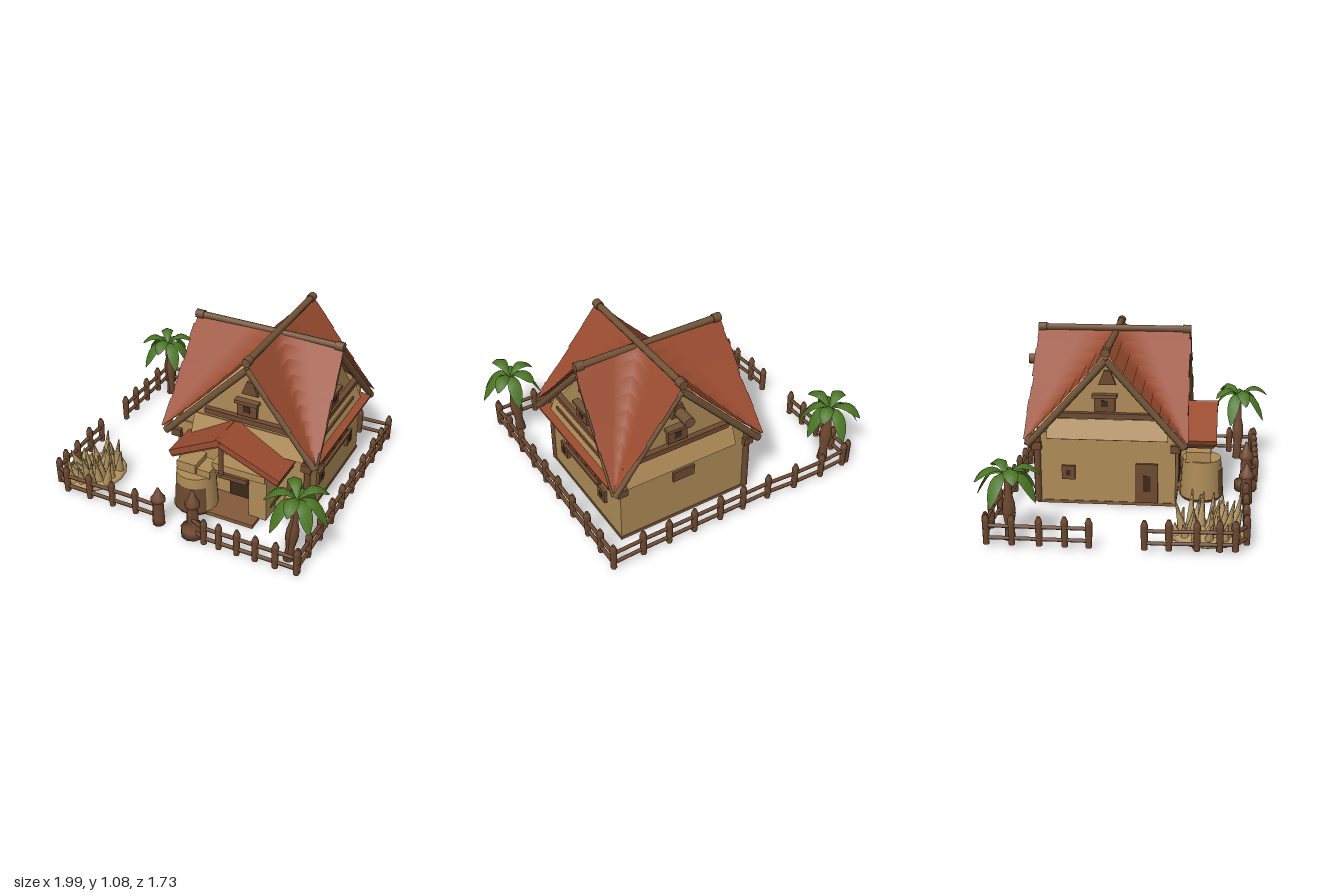
import * as THREE from 'three';

const mat = (name, color, side = THREE.FrontSide) => {
  const m = new THREE.MeshStandardMaterial({ color, side });
  m.name = name;
  return m;
};
const M = {
  roof: mat('clay tile', 0x994b2f, THREE.DoubleSide),
  wall: mat('plaster', 0xae8b57),
  wood: mat('brown wood', 0x6e4930),
  log: mat('ridge log', 0x725438),
  dark: mat('dark opening', 0x3c281a),
  leaf: mat('palm green', 0x497422, THREE.DoubleSide),
  straw: mat('dry straw', 0xb39561),
  base: mat('floor brown', 0x84593a),
};

let seed = 7;
const rnd = (a, b) => {
  seed = (seed * 16807) % 2147483647;
  return a + (b - a) * seed / 2147483647;
};
const V = (x, y, z) => new THREE.Vector3(x, y, z);

function add(parent, name, geo, material, x = 0, y = 0, z = 0) {
  const m = new THREE.Mesh(geo, material);
  m.name = name;
  m.position.set(x, y, z);
  parent.add(m);
  return m;
}
const box = (p, name, material, w, h, d, x, y, z) =>
  add(p, name, new THREE.BoxGeometry(w, h, d), material, x, y, z);

// Round beam from a to b
function beam(p, name, material, a, b, r, r2 = r, sides = 8) {
  const d = b.clone().sub(a), c = a.clone().add(b).multiplyScalar(0.5);
  const m = add(p, name, new THREE.CylinderGeometry(r2, r, d.length(), sides), material, c.x, c.y, c.z);
  m.quaternion.setFromUnitVectors(V(0, 1, 0), d.normalize());
  return m;
}

// Smooth surface through rows of points
function sheet(rows) {
  const n = rows[0].length, idx = [];
  for (let i = 0; i < rows.length - 1; i++)
    for (let j = 0; j < n - 1; j++) {
      const a = i * n + j;
      idx.push(a, a + n, a + 1, a + 1, a + n, a + n + 1);
    }
  const g = new THREE.BufferGeometry().setFromPoints(rows.flat());
  g.setIndex(idx);
  g.computeVertexNormals();
  return g;
}

const CX = 0.31, CZ = -0.17;

// Four roof quarters, each two slopes meeting in a valley, in overlapping courses
function roof(p) {
  const centre = V(CX, 1.045, CZ);
  const ends = { f: V(CX, 1.05, 0.32), b: V(CX, 1.05, -0.67), l: V(-0.27, 1.02, CZ), r: V(0.72, 1.02, CZ) };
  const corners = { fl: V(-0.265, 0.45, 0.33), fr: V(0.78, 0.47, 0.33), bl: V(-0.265, 0.45, -0.685), br: V(0.78, 0.46, -0.68) };
  const outward = e => ends[e].clone().sub(centre).setY(0).normalize();
  for (const [key, corner] of Object.entries(corners)) {
    const [e0, e1] = key;
    const row = (t, lift, o) => {
      const drop = q => {
        const r = q.clone().lerp(corner, t);
        r.y += lift - 0.01 * Math.sin(Math.PI * t);
        return r;
      };
      const a = drop(ends[e0]).addScaledVector(outward(e0), o), b = drop(ends[e1]).addScaledVector(outward(e1), o);
      const v = drop(centre);
      return [a, a.clone().lerp(v, 0.6), v, v.clone().lerp(b, 0.4), b];
    };
    const N = 9;
    for (let i = 0; i < N; i++) {
      const o = rnd(0, 0.014);
      add(p, 'roofCourse', sheet([row(Math.max(0, i / N - 0.025), 0, o), row((i + 1) / N, 0.005, o)]), M.roof);
    }
    // Rake logs tucked under both edges
    for (const e of key) {
      const shift = outward(e).multiplyScalar(-0.014).add(V(0, -0.052, 0));
      beam(p, 'rakeLog', M.log, ends[e].clone().add(shift), corner.clone().lerp(ends[e], 0.03).add(shift), 0.022, 0.022, 8);
    }
  }
  for (const [a, b] of [[ends.f, ends.b], [ends.l, ends.r]]) {
    beam(p, 'ridgeLog', M.log, a, b, 0.022);
    for (const [s, t] of [[a, b], [b, a]])
      beam(p, 'ridgeCap', M.log, s.clone().lerp(t, -0.01), s.clone().lerp(t, 0.045), 0.029);
  }
  beam(p, 'logEnd', M.log, V(CX, 0.83, -0.6), V(CX, 0.83, -0.75), 0.035);
}

function windowBox(p, w, h, x, y, z) {
  box(p, 'windowFrame', M.wood, w, h, 0.03, x, y, z);
  box(p, 'windowPane', M.dark, w * 0.35, h * 0.4, 0.008, x, y, z + 0.015);
}

// Beams, openings and flared skirt that finish one gable
function gableTrim(p, x, z, angle, beamY, beamLength) {
  const g = new THREE.Group();
  g.name = 'gableTrim';
  g.position.set(x, 0, z);
  g.rotation.y = angle;
  p.add(g);
  const wy = beamY + 0.08;
  windowBox(g, 0.13, 0.1, -0.015, wy, 0.012);
  box(g, 'windowLintel', M.log, 0.155, 0.022, 0.05, -0.015, wy + 0.05, 0.02);
  box(g, 'crossBeam', M.wood, beamLength, 0.035, 0.04, 0, beamY, 0.015);
  box(g, 'wallSkirt', M.wall, 0.76, 0.13, 0.02, 0, 0.51, 0.03).rotation.x = -0.4;
  const s = new THREE.Shape([[-0.055, 0.8], [0.055, 0.8], [0.02, 0.89], [-0.02, 0.89]].map(q => new THREE.Vector2(...q)));
  add(g, 'peakVent', new THREE.ExtrudeGeometry(s, { depth: 0.02, bevelEnabled: false }), M.wood);
}

function gable(p, l, r, y, top, depth) {
  const s = new THREE.Shape([[l, y], [r, y], [0, top]].map(q => new THREE.Vector2(...q)));
  return add(p, 'gableWall', new THREE.ExtrudeGeometry(s, { depth, bevelEnabled: false }), M.wall);
}

function house(p) {
  box(p, 'lowerWalls', M.wall, 0.9, 0.46, 0.88, 0.255, 0.25, -0.18);
  box(p, 'floorBase', M.base, 0.91, 0.02, 0.89, 0.255, 0.016, -0.18);
  gable(p, -0.48, 0.4, 0.47, 0.975, 0.87).position.set(CX, 0, -0.62);
  const side = gable(p, -0.43, 0.44, 0.47, 0.965, 0.85);
  side.rotation.y = Math.PI / 2;
  side.position.set(-0.18, 0, CZ);
  gableTrim(p, CX, 0.25, 0, 0.62, 0.6);
  gableTrim(p, 0.67, CZ, Math.PI / 2, 0.575, 0.76);
  gableTrim(p, CX, -0.62, Math.PI, 0.6, 0.68);
  gableTrim(p, -0.18, CZ, -Math.PI / 2, 0.6, 0.68);
  box(p, 'sideBatten', M.wood, 0.03, 0.02, 0.6, 0.705, 0.505, -0.15);
  for (const [x, z] of [[-0.195, -0.62], [0.7, 0.255]])
    beam(p, 'cornerPost', M.wood, V(x, 0.02, z), V(x, 0.46, z), 0.022);
  for (const x of [-0.195, 0.7])
    for (const z of [-0.62, 0.26]) box(p, 'beamEnd', M.wood, 0.065, 0.05, 0.06, x, 0.395, z);
  // Narrow eave roof along the right side
  box(p, 'sideEave', M.roof, 0.11, 0.02, 0.88, 0.725, 0.452, -0.17).rotation.z = -0.15;
  // Side and back wall openings
  box(p, 'shutterFrame', M.wood, 0.03, 0.15, 0.41, 0.705, 0.36, -0.17);
  for (const z of [-0.29, -0.17, -0.05])
    box(p, 'shutterPanel', M.log, 0.008, 0.11, 0.1, 0.722, 0.36, z);
  box(p, 'shutterSill', M.wood, 0.05, 0.018, 0.43, 0.715, 0.285, -0.17);
  const right = new THREE.Group();
  right.name = 'rightWindows';
  right.rotation.y = Math.PI / 2;
  p.add(right);
  for (const z of [0.07, -0.41]) windowBox(right, 0.085, 0.09, -z, 0.22, 0.71);
  const left = new THREE.Group();
  left.name = 'leftWindows';
  left.rotation.y = -Math.PI / 2;
  p.add(left);
  windowBox(left, 0.085, 0.09, -0.42, 0.22, 0.2);
  windowBox(left, 0.14, 0.26, 0.08, 0.16, 0.2);
  box(p, 'backShutter', M.wood, 0.15, 0.07, 0.03, 0.27, 0.34, -0.62);
  windowBox(p, 0.095, 0.1, 0.625, 0.21, 0.265);
}

function porch(p) {
  const roofSide = (a, b) => {
    const d = b.clone().sub(a), c = a.clone().add(b).multiplyScalar(0.5);
    const angle = Math.atan2(d.y, d.x);
    box(p, 'porchRoof', M.roof, d.length(), 0.04, 0.26, c.x, c.y, 0.385).rotation.z = angle;
    box(p, 'porchRoofEdge', M.wood, d.length() * 0.98, 0.02, 0.22, c.x, c.y - 0.028, 0.39).rotation.z = angle;
  };
  roofSide(V(-0.11, 0.405, 0), V(0.22, 0.575, 0));
  roofSide(V(0.21, 0.575, 0), V(0.62, 0.41, 0));
  beam(p, 'porchRidge', M.roof, V(0.215, 0.57, 0.24), V(0.215, 0.578, 0.52), 0.02);
  beam(p, 'porchKingPost', M.wood, V(0.22, 0.32, 0.47), V(0.22, 0.56, 0.47), 0.016);
  // Rounded entrance wall, capping blocks and side pillar
  add(p, 'roundWall', new THREE.CylinderGeometry(0.125, 0.14, 0.25, 20), M.wall, 0.02, 0.145, 0.42);
  add(p, 'roundWallBase', new THREE.CylinderGeometry(0.145, 0.13, 0.02, 20), M.base, 0.02, 0.011, 0.42);
  box(p, 'cappingBlock', M.wall, 0.13, 0.07, 0.16, -0.02, 0.3, 0.4);
  box(p, 'cappingBlock', M.wall, 0.09, 0.05, 0.14, 0.1, 0.29, 0.41);
  box(p, 'porchStep', M.base, 0.36, 0.025, 0.26, 0.27, 0.014, 0.37);
  add(p, 'curvedDoor', new THREE.CylinderGeometry(0.134, 0.143, 0.18, 10, 1, true, -0.65, 1.6), M.wood, 0.02, 0.115, 0.42);
  box(p, 'doorway', M.dark, 0.2, 0.25, 0.008, 0.28, 0.155, 0.264);
  box(p, 'porchPillar', M.wall, 0.12, 0.3, 0.14, 0.44, 0.17, 0.34);
  box(p, 'porchHeader', M.wall, 0.36, 0.05, 0.12, 0.31, 0.325, 0.36);
  box(p, 'doorBeam', M.wood, 0.2, 0.035, 0.14, 0.28, 0.285, 0.37);
  add(p, 'wallButtress', new THREE.SphereGeometry(1, 12, 8), M.wall, 0.62, 0.1, 0.27).scale.set(0.065, 0.08, 0.1);
}

// Each run is a list of [x, z] posts joined by two rails
function fence(p) {
  const back = [[-0.85, -0.81], [-0.66, -0.82], [-0.45, -0.815], [-0.25, -0.8], [-0.06, -0.8], [0.11, -0.8], [0.3, -0.8], [0.48, -0.8], [0.66, -0.8], [0.865, -0.805]];
  const right = [-0.805, -0.65, -0.49, -0.3, -0.11, 0.07, 0.24, 0.42, 0.6, 0.76].map(z => [0.865, z]);
  const front = [0.15, 0.26, 0.36, 0.48, 0.6, 0.73, 0.865].map((x, i) => [x, i ? 0.775 : 0.73]);
  const gate = [[-0.89, 0.12], [-0.89, 0.26], [-0.88, 0.42], [-0.88, 0.55], [-0.87, 0.64], [-0.77, 0.705], [-0.6, 0.705], [-0.43, 0.705], [-0.26, 0.705], [-0.09, 0.71]];
  const left = [-0.8, -0.65, -0.49, -0.34, -0.2].map(z => [-0.89, z]);
  for (const run of [back, right, front, gate, left])
    run.forEach(([x, z], i) => {
      const h = 0.165 + rnd(0, 0.015);
      beam(p, 'fencePost', M.wood, V(x, 0.02, z), V(x, h, z), 0.019, 0.022, 6);
      beam(p, 'fencePostTip', M.wood, V(x, h, z), V(x, h + 0.03, z), 0.022, 0.01, 6);
      if (i) for (const y of [0.06, 0.135])
        beam(p, 'fenceRail', M.wood, V(run[i - 1][0], y, run[i - 1][1]), V(x, y, z), 0.0125, 0.0125, 6);
    });
  // Gate posts
  for (const [x, z, s, foot] of [[-0.09, 0.71, 0.85, 0.04], [0.15, 0.71, 1.05, 0.075]]) {
    const prof = [[0, 0.005], [foot, 0.005], [foot, 0.06], [0.038, 0.08], [0.034, 0.2], [0.047, 0.21], [0.047, 0.235], [0.03, 0.26], [0.006, 0.32], [0, 0.32]];
    add(p, 'gatePost', new THREE.LatheGeometry(prof.map(q => new THREE.Vector2(q[0], q[1] * s)), 10), M.wood, x, 0, z);
  }
}

function palm(p, x, z, h, lean) {
  const g = new THREE.Group();
  g.name = 'palm';
  g.position.set(x, 0, z);
  p.add(g);
  const prof = [[0, 0.01], [0.035, 0.01], [0.026, 0.1], [0.04, 0.18], [0.038, 0.24], [0.024, 0.3], [0.02, h], [0, h]];
  const trunk = new THREE.LatheGeometry(prof.map(q => new THREE.Vector2(...q)), 10);
  const pos = trunk.attributes.position;
  for (let i = 0; i < pos.count; i++) pos.setX(i, pos.getX(i) + lean * (1 - pos.getY(i) / h));
  trunk.computeVertexNormals();
  add(g, 'palmTrunk', trunk, M.wood);
  // Paddle-shaped fronds, alternately raised and drooping
  for (let k = 0; k < 9; k++) {
    const rows = [], L = rnd(0.18, 0.2);
    const [rise, droop] = k % 2 ? [0.3, rnd(0.28, 0.32)] : [0.24, rnd(0.35, 0.4)];
    const widths = [0.008, 0.016, 0.028, 0.038, 0.043, 0.042, 0.031, 0.004];
    widths.forEach((w, i) => {
      const t = i / 7, y = h + rise * t - droop * t * t;
      rows.push([V(L * t, y - w * 0.35, -w), V(L * t, y + 0.005, 0), V(L * t, y - w * 0.35, w)]);
    });
    add(g, 'palmFrond', sheet(rows), M.leaf).rotation.y = (k + rnd(-0.12, 0.12)) / 9 * Math.PI * 2;
  }
}

// Mound of dry grass in the front corner
function strawPatch(p) {
  const mound = add(p, 'strawMound', new THREE.SphereGeometry(1, 16, 8), M.straw, -0.7, 0.045, 0.475);
  mound.scale.set(0.19, 0.035, 0.225);
  for (let i = 0; i < 30; i++) {
    const a = i * 2.4, r = Math.sqrt((i + 0.5) / 30);
    const dx = Math.cos(a) * r * 0.15, dz = Math.sin(a) * r * 0.19;
    const h = rnd(0.08, 0.15) + (dx > -0.04 ? rnd(0.04, 0.1) : 0);
    const foot = V(-0.7 + dx, 0.03, 0.475 + dz);
    const tip = V(-0.7 + dx * 1.2 + rnd(-0.03, 0.03), 0.04 + h, 0.475 + dz * 1.1 + rnd(-0.04, 0.04));
    beam(p, 'strawBlade', M.straw, foot, tip, 0.034, 0.004, 7);
  }
}

export function createModel() {
  const root = new THREE.Group();
  root.name = 'cottage';
  const parts = { house, roof, porch, fence, strawPatch };
  for (const [name, build] of Object.entries(parts)) {
    const g = new THREE.Group();
    g.name = name;
    root.add(g);
    build(g);
  }
  palm(root, 0.805, 0.66, 0.45, -0.04);
  palm(root, -0.81, -0.68, 0.405, 0.02);
  return root;
}
